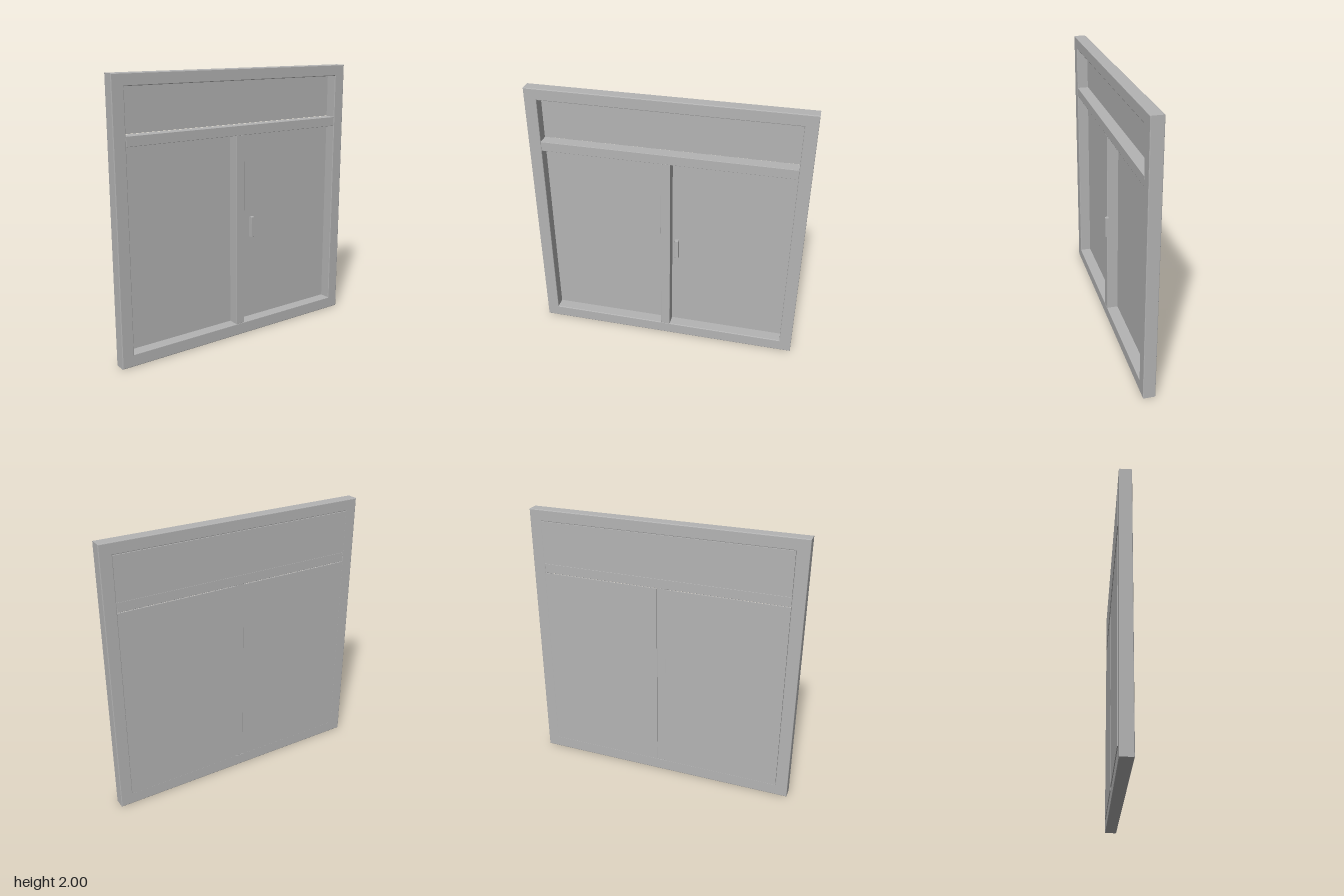
import * as THREE from 'three';

const BACK = -0.056, FRONT = 0.033, BEVEL = 0.005;

function rect(Type, x0, y0, x1, y1) {
  const p = new Type();
  p.moveTo(x0, y0);
  p.lineTo(x1, y0);
  p.lineTo(x1, y1);
  p.lineTo(x0, y1);
  p.closePath();
  return p;
}

export function createModel() {
  const model = new THREE.Group();
  model.name = 'window';
  const grey = new THREE.MeshStandardMaterial({ color: 0xb4b4b4 });
  grey.name = 'grey';

  function add(name, geometry) {
    const mesh = new THREE.Mesh(geometry, grey);
    mesh.name = name;
    model.add(mesh);
  }

  // Extrude a shape between two depths, with slim chamfers inside its outline
  function slab(name, shape, z0, z1, bevel) {
    const geometry = new THREE.ExtrudeGeometry(shape, {
      depth: z1 - z0 - 2 * bevel,
      bevelEnabled: bevel > 0,
      bevelSize: bevel,
      bevelThickness: bevel,
      bevelOffset: -bevel,
      bevelSegments: 2,
    });
    geometry.translate(0, 0, z0 + bevel);
    add(name, geometry);
  }

  // Outer frame with one large opening
  const frame = rect(THREE.Shape, -1, 0, 1, 2);
  frame.holes.push(rect(THREE.Path, -0.91, 0.09, 0.91, 1.917));
  slab('frame', frame, BACK, FRONT, BEVEL);

  // Horizontal transom and vertical mullion
  slab('transom', rect(THREE.Shape, -0.91, 1.53, 0.91, 1.6), BACK, FRONT - 0.001, 0.002);
  slab('mullion', rect(THREE.Shape, -0.036, 0.088, 0.034, 1.532), BACK, FRONT - 0.001, 0.002);

  // Thin panes standing slightly proud of the back
  const panes = [
    ['upperPane', -0.91, 1.602, 0.91, 1.917],
    ['rightPane', -0.91, 0.09, -0.036, 1.528],
    ['leftPane', 0.034, 0.09, 0.91, 1.528],
  ];
  for (const [name, x0, y0, x1, y1] of panes) {
    slab(name, rect(THREE.Shape, x0, y0, x1, y1), -0.061, -0.051, 0);
  }

  // Small upright handle
  slab('handle', rect(THREE.Shape, 0.076, 0.768, 0.104, 0.92), 0.033, 0.061, 0.003);

  return model;
}
